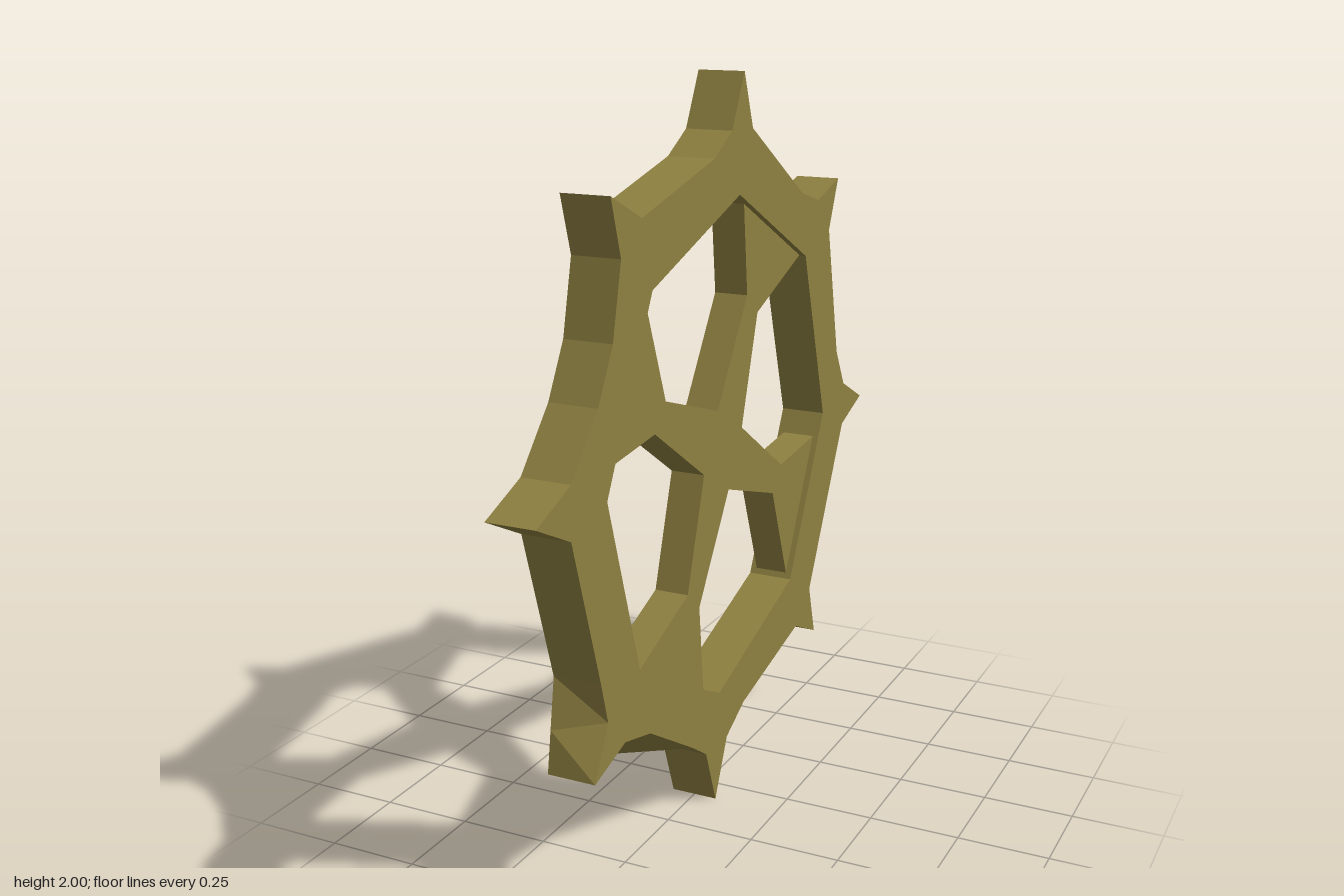
import * as THREE from 'three';

const HALF = 0.066; // half the rim thickness

// Flat plate between two matching clockwise outlines [u, y] (u runs towards -z),
// with an optional clockwise hole, built with crisp facets.
function plate(nearOutline, farOutline, hole, half) {
  const toVec = (pts) => pts.map(([u, v]) => new THREE.Vector2(u, v));
  const near = toVec(nearOutline).reverse();
  const far = toVec(farOutline).reverse();
  const holes = hole ? [toVec(hole)] : [];
  const pos = [];
  const put = (p, w) => pos.push(w, p.y, -p.x);

  // caps
  const nearAll = near.concat(...holes);
  const farAll = far.concat(...holes);
  for (const [a, b, c] of THREE.ShapeUtils.triangulateShape(near, holes)) {
    put(nearAll[a], half); put(nearAll[b], half); put(nearAll[c], half);
  }
  for (const [a, b, c] of THREE.ShapeUtils.triangulateShape(far, holes)) {
    put(farAll[c], -half); put(farAll[b], -half); put(farAll[a], -half);
  }

  // outer and inner walls
  const wall = (n, f) => n.forEach((p, i) => {
    const j = (i + 1) % n.length;
    put(f[i], -half); put(f[j], -half); put(n[j], half);
    put(f[i], -half); put(n[j], half); put(p, half);
  });
  wall(near, far);
  holes.forEach((h) => wall(h, h));

  const g = new THREE.BufferGeometry();
  g.setAttribute('position', new THREE.Float32BufferAttribute(pos, 3));
  g.computeVertexNormals();
  return g;
}

export function createModel() {
  const model = new THREE.Group();
  model.name = 'spikedWheel';
  const brass = new THREE.MeshStandardMaterial({ color: 0x8f8141 });
  brass.name = 'old brass';

  // Rim outline with eight spikes, clockwise from the top spike
  const rimNear = [
    [0.085, 2.0], [0.14, 1.85], [0.49, 1.635], [0.61, 1.6],
    [0.765, 1.645], [0.7, 1.5], [0.785, 1.11], [0.85, 0.995],
    [1.0, 0.92], [0.845, 0.865], [0.595, 0.395],
    [0.64, 0.24], [0.49, 0.31], [0.105, 0.22], [-0.01, 0.16],
    [-0.085, 0.0], [-0.145, 0.165], [-0.225, 0.22], [-0.475, 0.375], [-0.61, 0.41],
    [-0.765, 0.365], [-0.695, 0.5], [-0.725, 0.61], [-0.85, 1.015],
    [-1.0, 1.09], [-0.845, 1.15], [-0.715, 1.295], [-0.64, 1.43], [-0.595, 1.62],
    [-0.64, 1.77], [-0.49, 1.7], [-0.095, 1.795], [0.01, 1.855],
  ];

  // On the far face the worn notches are filled out to straight edges
  const filled = {
    2: [0.48, 1.669], 13: [0.105, 0.194],
    18: [-0.475, 0.287], 19: [-0.61, 0.251 + 0.0726], 21: [-0.747, 0.475],
  };
  const rimFar = rimNear.map((p, i) => filled[i] || p);

  // Eight-sided opening
  const half = [[0.06, 0.685], [0.52, 0.45], [0.68, -0.06], [0.44, -0.52]];
  const opening = [...half, ...half.map(([u, v]) => [-u, -v])].map(([u, v]) => [u, v + 1]);

  const rim = new THREE.Mesh(plate(rimNear, rimFar, opening, HALF), brass);
  rim.name = 'spikedRim';
  model.add(rim);

  // Four flared spokes, one arm repeated by quarter turns
  const arm = [[-0.035, 0.12], [0.15, 0.4], [0.124, 0.67], [0.535, 0.46], [0.22, 0.34]];
  const cross = [];
  for (let k = 0; k < 4; k++) {
    for (let [u, v] of arm) {
      for (let t = 0; t < k; t++) [u, v] = [v, -u];
      cross.push([u, v + 1]);
    }
  }
  const spokes = new THREE.Mesh(plate(cross, cross, null, 0.048), brass);
  spokes.name = 'spokes';
  model.add(spokes);

  return model;
}
